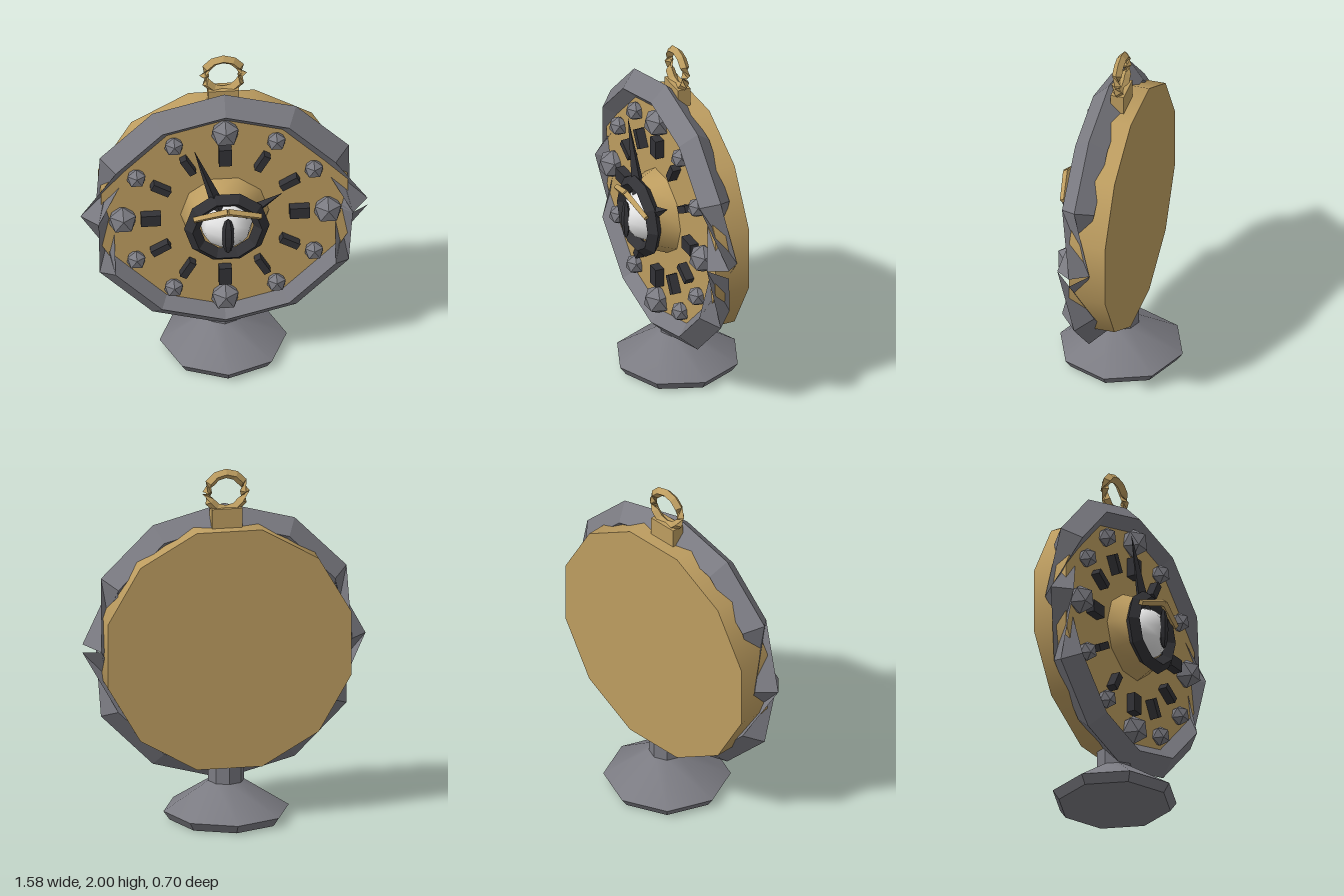
import * as THREE from 'three';
import { toCreasedNormals } from 'three/addons/utils/BufferGeometryUtils.js';

const steel = new THREE.MeshStandardMaterial({ color: 0x7b7b82 });
steel.name = 'steel';
const brass = new THREE.MeshStandardMaterial({ color: 0xbd9d60 });
brass.name = 'brass';
const dark = new THREE.MeshStandardMaterial({ color: 0x323236 });
dark.name = 'darkIron';
const white = new THREE.MeshStandardMaterial({ color: 0xeaeaea });
white.name = 'eyeWhite';

const CY = 0.99; // height of the dial centre

function flat(geo) {
  const g = geo.index ? geo.toNonIndexed() : geo;
  g.computeVertexNormals();
  return g;
}

// Square-section hoop whose section twists beside the vertical runs and is open at +x
function twistedHoop(R, r) {
  const n = 12, pos = [], idx = [];
  for (let i = 0; i <= n; i++) {
    const t = (i / n) * Math.PI * 2;
    const end = i === 0 || i === n;
    const tilt = t + (i === 0 ? 1 : i === n ? -1 : 0) * Math.PI / n;
    let twist = i < 6 ? 0 : i === 6 ? -Math.PI / 2 : -Math.PI;
    if (end) twist += Math.PI;
    for (let j = 0; j < 4; j++) {
      const p = j * Math.PI / 2 + twist;
      const o = r * Math.cos(p);
      pos.push(R * Math.cos(t) + o * Math.cos(tilt), R * Math.sin(t) + o * Math.sin(tilt), r * Math.sin(p));
    }
  }
  for (let i = 0; i < n; i++) {
    for (let j = 0; j < 4; j++) {
      const k = (j + 1) % 4;
      const a = i * 4 + j, b = a + 4, c = (i + 1) * 4 + k, d = i * 4 + k;
      idx.push(a, b, d, b, c, d);
    }
  }
  const g = new THREE.BufferGeometry();
  g.setAttribute('position', new THREE.Float32BufferAttribute(pos, 3));
  g.setIndex(idx);
  return flat(g);
}

export function createModel() {
  const group = new THREE.Group();

  function add(name, geo, mat, x = 0, y = 0, z = 0) {
    const m = new THREE.Mesh(geo, mat);
    m.name = name;
    m.position.set(x, y, z);
    group.add(m);
    return m;
  }

  // Four-sided bar between two points, tapering from r0 to r1
  function bar(name, mat, p, q, r0, r1) {
    const a = new THREE.Vector3(...p), b = new THREE.Vector3(...q);
    const d = b.clone().sub(a);
    const g = flat(new THREE.CylinderGeometry(r1, r0, d.length(), 4));
    const m = add(name, g, mat);
    m.position.copy(a).add(b).multiplyScalar(0.5);
    m.quaternion.setFromUnitVectors(new THREE.Vector3(0, 1, 0), d.normalize());
    return m;
  }

  // Foot and neck
  const foot = [[0, 0], [0.315, 0], [0.35, 0.05], [0.1, 0.213], [0.1, 0.36]].map(p => new THREE.Vector2(...p));
  add('foot', toCreasedNormals(new THREE.LatheGeometry(foot, 8), 0.6), steel);

  // Case: twelve-sided disc with flats at top, bottom and sides
  const disc = new THREE.CylinderGeometry(0.704, 0.704, 0.205, 12);
  disc.rotateY(Math.PI / 12).rotateX(Math.PI / 2);
  add('case', disc, brass, 0, CY, -0.003);

  // Rim
  add('rim', twistedHoop(0.7, 0.092), steel, 0, CY, 0.07);

  // Hanging loop and its block
  add('loopBlock', new THREE.BoxGeometry(0.17, 0.14, 0.075), brass, 0, 1.71, 0);
  add('loop', twistedHoop(0.105, 0.027), brass, 0, 1.868, 0);

  // Hour studs and marks
  for (let i = 0; i < 12; i++) {
    const a = (i * Math.PI) / 6, major = i % 3 === 0;
    const s = Math.sin(a), c = Math.cos(a);
    const stud = new THREE.IcosahedronGeometry(major ? 0.085 : 0.058);
    stud.rotateX(-1.0172);
    add('hourStud', stud, steel, 0.565 * s, CY + 0.565 * c, 0.12);
    const mark = add('hourMark', new THREE.BoxGeometry(major ? 0.07 : 0.04, 0.11, 0.06), dark,
      0.41 * s, CY + 0.41 * c, 0.12);
    mark.rotation.z = -a;
  }

  // Hub behind the eye
  const hub = new THREE.CylinderGeometry(0.2, 0.252, 0.12, 10);
  hub.rotateY(Math.PI / 2).rotateX(Math.PI / 2);
  add('hub', toCreasedNormals(hub, 0.7), brass, 0, CY, 0.14);

  // Eye socket, eyeball and slit pupil
  add('eyeSocket', flat(new THREE.TorusGeometry(0.192, 0.044, 4, 10)), dark, 0, CY, 0.232);
  add('eyeball', new THREE.SphereGeometry(0.15, 10, 8), white, 0, CY, 0.175);
  const pupil = flat(new THREE.SphereGeometry(1, 6, 6));
  add('pupil', pupil, dark, 0, CY, 0.315).scale.set(0.035, 0.12, 0.022);

  // Brow
  for (const s of [-1, 1]) {
    bar('brow', brass, [0, 1.15, 0.312], [s * 0.185, 1.085, 0.28], 0.022, 0.018);
  }

  // Hands
  bar('minuteHand', dark, [0, CY, 0.215], [-0.177, 1.51, 0.215], 0.052, 0.001);
  bar('hourHand', dark, [0, CY, 0.21], [0.305, 1.185, 0.21], 0.07, 0.001);

  return group;
}
